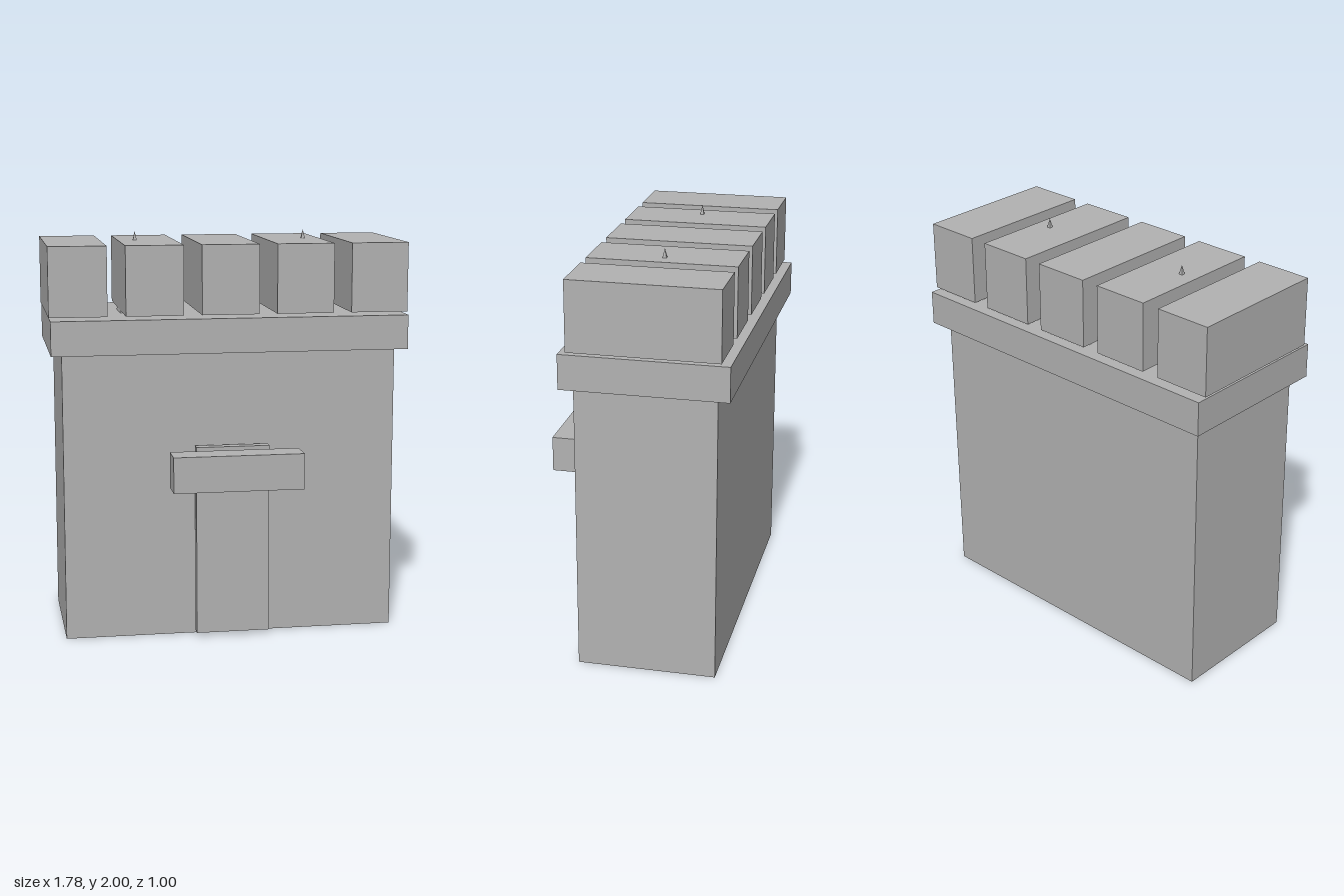
import * as THREE from 'three';

export function createModel() {
  const model = new THREE.Group();
  model.name = 'castleGate';
  const stone = new THREE.MeshStandardMaterial({ color: 0xb2b2b2 });
  stone.name = 'greyStone';
  stone.flatShading = true;

  // Box given by its extents along each axis
  function block(name, [x0, x1], [y0, y1], [z0, z1]) {
    const mesh = new THREE.Mesh(new THREE.BoxGeometry(x1 - x0, y1 - y0, z1 - z0), stone);
    mesh.position.set((x0 + x1) / 2, (y0 + y1) / 2, (z0 + z1) / 2);
    mesh.name = name;
    model.add(mesh);
  }

  // Square pyramid with sides along x and z
  function spire(name, x, half, y0, y1) {
    const geometry = new THREE.ConeGeometry(half * Math.SQRT2, y1 - y0, 4, 1);
    geometry.rotateY(Math.PI / 4);
    const mesh = new THREE.Mesh(geometry, stone);
    mesh.position.set(x, (y0 + y1) / 2, -0.1);
    mesh.name = name;
    model.add(mesh);
  }

  // Main wall and overhanging ledge
  block('wall', [-0.831, 0.826], [0, 1.43], [-0.437, 0.24]);
  block('ledge', [-0.885, 0.88], [1.43, 1.6], [-0.502, 0.298]);

  // Five battlements floating just above the ledge
  for (let i = -2; i <= 2; i++) {
    const x = -0.003 + i * 0.373;
    block('battlement' + (i + 3), [x - 0.142, x + 0.142], [1.613, 1.955], [-0.462, 0.258]);
  }

  // Spires running up through the battlements; the middle one stays inside
  spire('rightSpire', -0.433, 0.087, 1.6, 2);
  spire('middleSpire', -0.003, 0.115, 1.6, 1.93);
  spire('leftSpire', 0.427, 0.087, 1.6, 2);

  // Door panel and canopy in front of the wall
  block('door', [-0.184, 0.18], [0.02, 0.968], [0.263, 0.313]);
  block('canopy', [-0.322, 0.318], [0.783, 0.96], [0.363, 0.502]);

  return model;
}
